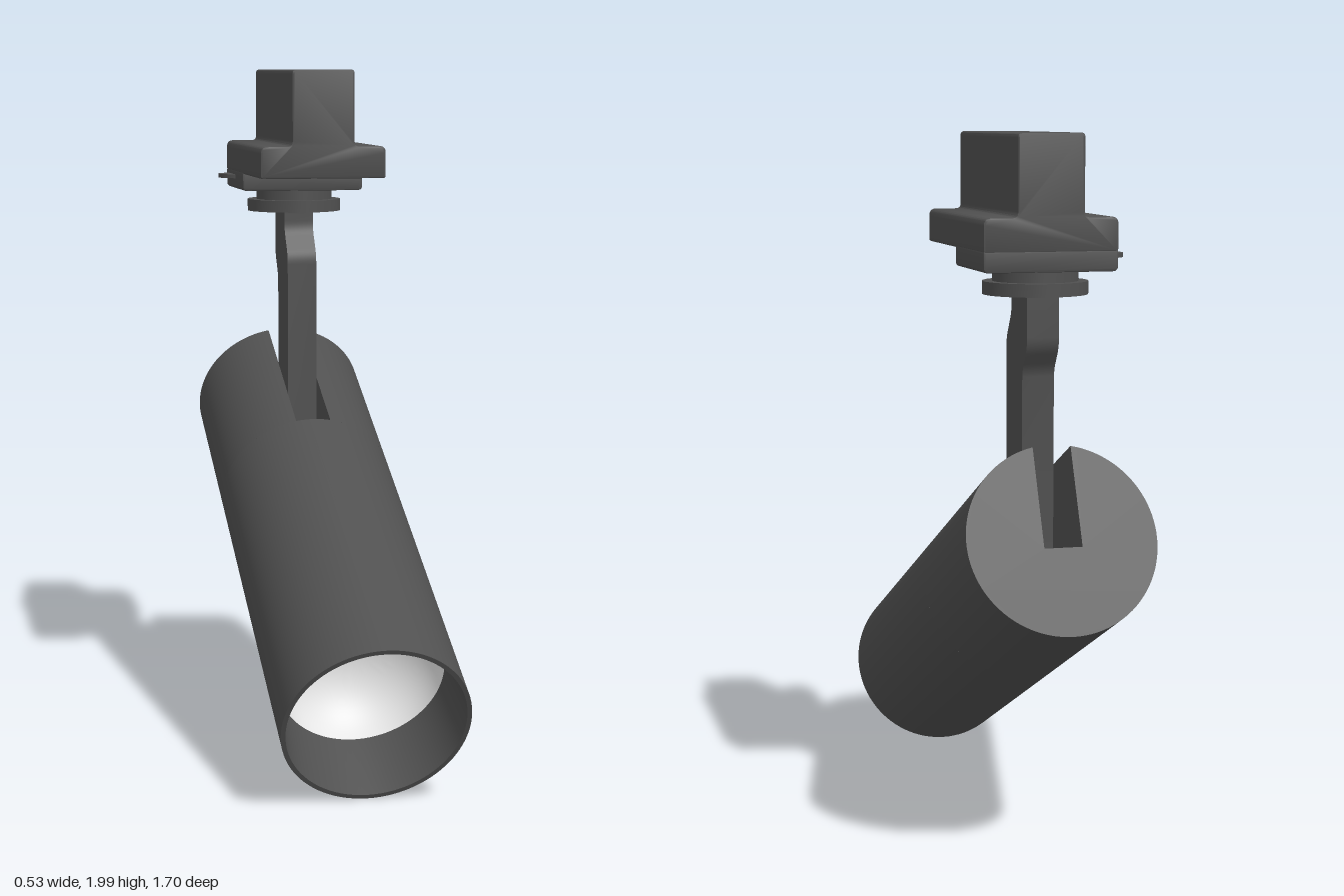
import * as THREE from 'three';
import { toCreasedNormals } from 'three/addons/utils/BufferGeometryUtils.js';

const graphite = new THREE.MeshStandardMaterial({ color: 0x505050 });
graphite.name = 'graphite';
const reflectorWhite = new THREE.MeshStandardMaterial({ color: 0xe6e6e6 });
reflectorWhite.name = 'reflector white';

const R = 0.264;        // lamp tube radius
const HALF = 0.816;     // half length of the tube
const SLOT_END = -0.286;
const TILT = 0.4335;

function add(parent, name, geometry, material = graphite) {
  const mesh = new THREE.Mesh(toCreasedNormals(geometry, 0.5), material);
  mesh.name = name;
  parent.add(mesh);
  return mesh;
}

const points = (list) => list.map(([x, y]) => new THREE.Vector2(x, y));

// Lathe whose axis runs along z (second coordinate is z)
const latheZ = (list) => new THREE.LatheGeometry(points(list), 96).rotateX(Math.PI / 2);

// Closed shape with every corner rounded by its third value
function roundedShape(corners) {
  const shape = new THREE.Shape();
  const n = corners.length;
  corners.forEach(([x, y, r], i) => {
    const p = new THREE.Vector2(x, y);
    const toward = (q) => new THREE.Vector2(q[0], q[1]).sub(p).setLength(r).add(p);
    const a = r ? toward(corners[(i + n - 1) % n]) : p;
    const b = r ? toward(corners[(i + 1) % n]) : p;
    if (i === 0) shape.moveTo(a.x, a.y);
    else shape.lineTo(a.x, a.y);
    if (r) shape.quadraticCurveTo(p.x, p.y, b.x, b.y);
  });
  shape.closePath();
  return shape;
}

// Extrude along z between two positions, with a small edge bevel
function extrudeZ(shape, z0, z1, bevel = 0) {
  return new THREE.ExtrudeGeometry(shape, {
    depth: z1 - z0 - 2 * bevel, curveSegments: 5, bevelEnabled: bevel > 0,
    bevelThickness: bevel, bevelSize: bevel, bevelOffset: -bevel, bevelSegments: 2,
  }).translate(0, 0, z0 + bevel);
}

function createLamp() {
  const lamp = new THREE.Group();
  lamp.name = 'lampHead';

  // Front tube with open recess
  add(lamp, 'frontTube', latheZ([
    [0, SLOT_END], [R, SLOT_END], [R, HALF], [0.251, HALF], [0.236, 0.606], [0.236, 0.35], [0, 0.35],
  ]));

  // Concave reflector bowl
  const bowl = [];
  for (let i = 0; i <= 16; i++) {
    const a = (i / 16) * Math.PI / 2;
    bowl.push([0.235 * Math.cos(a), 0.606 - 0.2 * Math.sin(a)]);
  }
  add(lamp, 'reflector', latheZ(bowl), reflectorWhite);

  // Rear tube with a slot cut down to just below the axis
  const w = 0.053, floor = -0.022;
  const start = Math.acos(w / R), sweep = Math.PI * 2 - (Math.PI - 2 * start);
  const outline = [[w, floor]];
  for (let i = 0; i <= 92; i++) {
    const a = start - (sweep * i) / 92;
    outline.push([R * Math.cos(a), R * Math.sin(a)]);
  }
  outline.push([-w, floor]);
  add(lamp, 'slottedRearTube', extrudeZ(new THREE.Shape(points(outline)), -HALF, SLOT_END));

  lamp.position.y = 0.5875;
  lamp.rotation.x = TILT;
  return lamp;
}

function createStem() {
  // Cranked arm, drawn as (z, y) and extruded across x
  const shape = roundedShape([
    [-0.33, 0.76, 0], [-0.33, 1.43, 0.025], [-0.385, 1.51, 0.025], [-0.385, 1.57, 0],
    [-0.545, 1.57, 0], [-0.545, 1.425, 0.025], [-0.497, 1.355, 0.025], [-0.497, 0.84, 0],
  ]);
  return extrudeZ(shape, -0.045, 0.045).rotateY(-Math.PI / 2);
}

function createAdapter() {
  const adapter = new THREE.Group();
  adapter.name = 'trackAdapter';
  const zBack = -0.625, zFront = 0.01;

  // Inverted T section
  add(adapter, 'adapterBody', extrudeZ(roundedShape([
    [-0.187, 1.684, 0.008], [0.187, 1.684, 0.008], [0.187, 1.778, 0.02], [0.093, 1.778, 0.015],
    [0.093, 2, 0.012], [-0.093, 2, 0.012], [-0.093, 1.778, 0.015], [-0.187, 1.778, 0.02],
  ]), zBack, zFront, 0.005));

  // Deeper housing over the swivel
  add(adapter, 'swivelHousing', extrudeZ(roundedShape([
    [-0.187, 1.632, 0.015], [0.187, 1.632, 0.015], [0.187, 1.69, 0.005], [-0.187, 1.69, 0.005],
  ]), zBack, -0.312, 0.005));

  // Locking tab on one side
  add(adapter, 'lockingTab', new THREE.CylinderGeometry(0.07, 0.07, 0.012, 40))
    .position.set(-0.16, 1.671, -0.52);

  // Swivel neck and flange
  add(adapter, 'swivelNeck', new THREE.CylinderGeometry(0.118, 0.118, 0.045, 64))
    .position.set(0, 1.615, -0.465);
  add(adapter, 'swivelFlange', new THREE.CylinderGeometry(0.145, 0.145, 0.036, 64))
    .position.set(0, 1.582, -0.465);
  return adapter;
}

export function createModel() {
  const model = new THREE.Group();
  model.name = 'trackSpotlight';
  model.add(createLamp());
  add(model, 'stem', createStem());
  model.add(createAdapter());
  return model;
}
